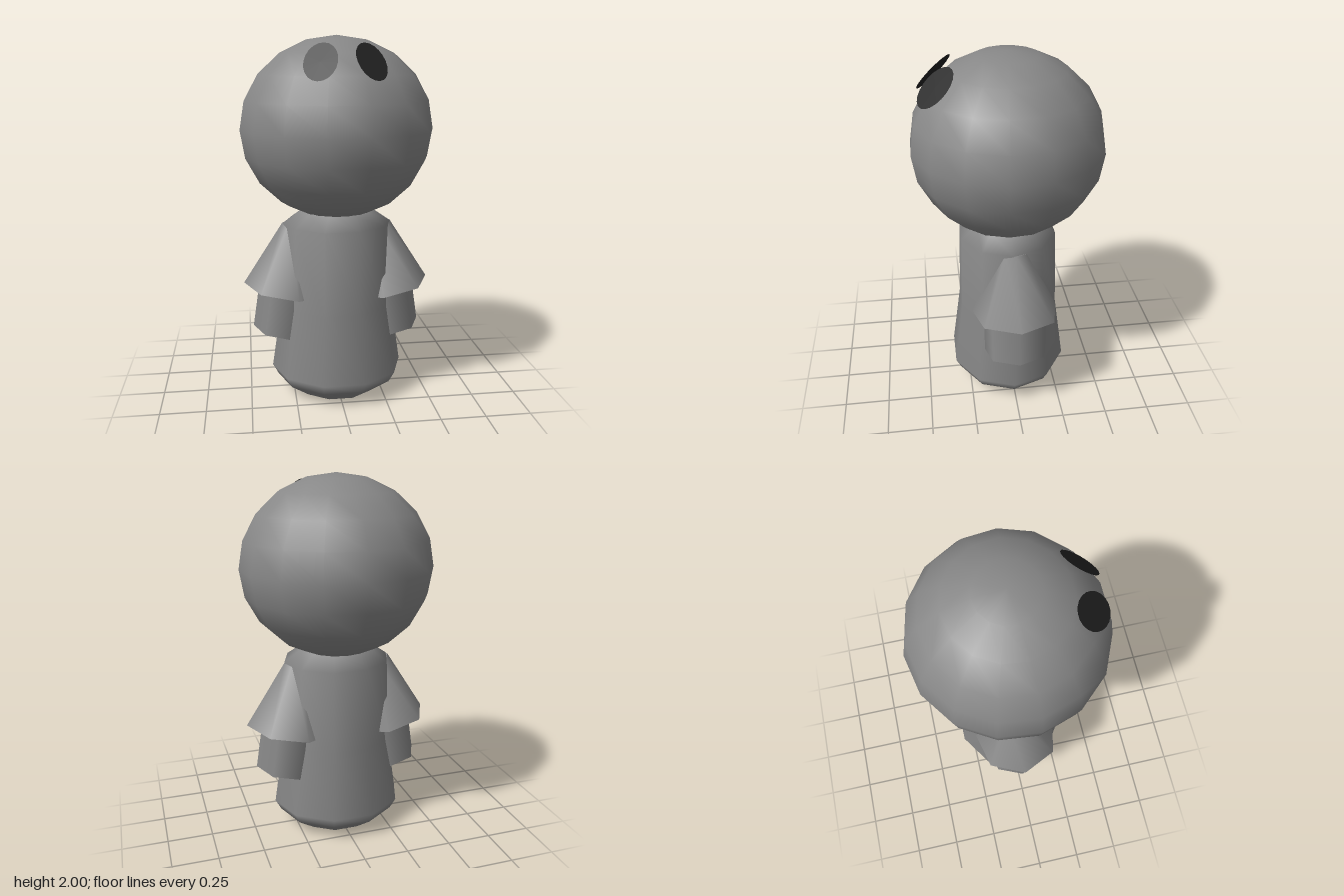
import * as THREE from 'three';

const grey = new THREE.MeshStandardMaterial({ color: 0x888888, side: THREE.DoubleSide });
const dark = new THREE.MeshStandardMaterial({ color: 0x222222, side: THREE.DoubleSide });

function part(name, geometry, material, parent) {
  const mesh = new THREE.Mesh(geometry, material);
  mesh.name = name;
  parent.add(mesh);
  return mesh;
}

// Revolved profile with a corner pointing along +x
function lathe(points, sides) {
  return new THREE.LatheGeometry(points.map(([r, y]) => new THREE.Vector2(r, y)), sides, Math.PI / 2);
}

// Flared sleeve with an open tube below it, pointing along +x
function createArm() {
  const arm = new THREE.Group();
  const tilted = new THREE.Group();
  tilted.position.set(0.285, 0.612, 0);
  tilted.rotation.z = 0.15;
  arm.add(tilted);

  // separate surfaces keep the sleeve's rim sharp
  part('sleeve', lathe([[0.242, 0], [0.075, 0.37]], 7), grey, tilted);
  part('sleeveTop', lathe([[0.075, 0.37], [0, 0.37]], 7), grey, tilted);
  part('sleeveUnderside', lathe([[0, -0.03], [0.13, -0.025], [0.242, 0]], 7), grey, tilted);

  const tube = lathe([[0.17, -0.248], [0.17, 0]], 7);
  tube.scale(1, 1, 1.07);
  tube.translate(-0.013, 0, 0);
  part('hand', tube, grey, tilted);
  return arm;
}

export function createModel() {
  const model = new THREE.Group();
  model.name = 'figure';

  // Head: slightly flattened ball, corner at the back
  const head = part('head', new THREE.SphereGeometry(0.525, 15, 10, -Math.PI / 2), grey, model);
  head.scale.set(1, 0.49 / 0.525, 0.985);
  head.position.set(0, 1.51, 0.007);

  // Body: ten-sided hollow robe with a rounded hem and sloped shoulders
  const robe = part('robe', lathe([
    [0.22, 0], [0.34, 0.085], [0.373, 0.145], [0.315, 0.53], [0.3, 0.99], [0.2, 1.06],
  ], 10), grey, model);
  robe.scale.z = 0.91;
  robe.position.z = 0.013;

  // Arms and eyes on both sides
  for (const side of [1, -1]) {
    const arm = createArm();
    arm.name = side > 0 ? 'leftArm' : 'rightArm';
    if (side < 0) arm.rotation.y = Math.PI;
    model.add(arm);

    const eye = part(side > 0 ? 'leftEye' : 'rightEye', new THREE.CircleGeometry(1, 20), dark, model);
    eye.scale.set(0.09, 0.122, 1);
    eye.position.set(side * 0.125, 1.865, 0.372);
    eye.rotation.set(-0.785, side * 0.43, 0);
  }
  return model;
}
